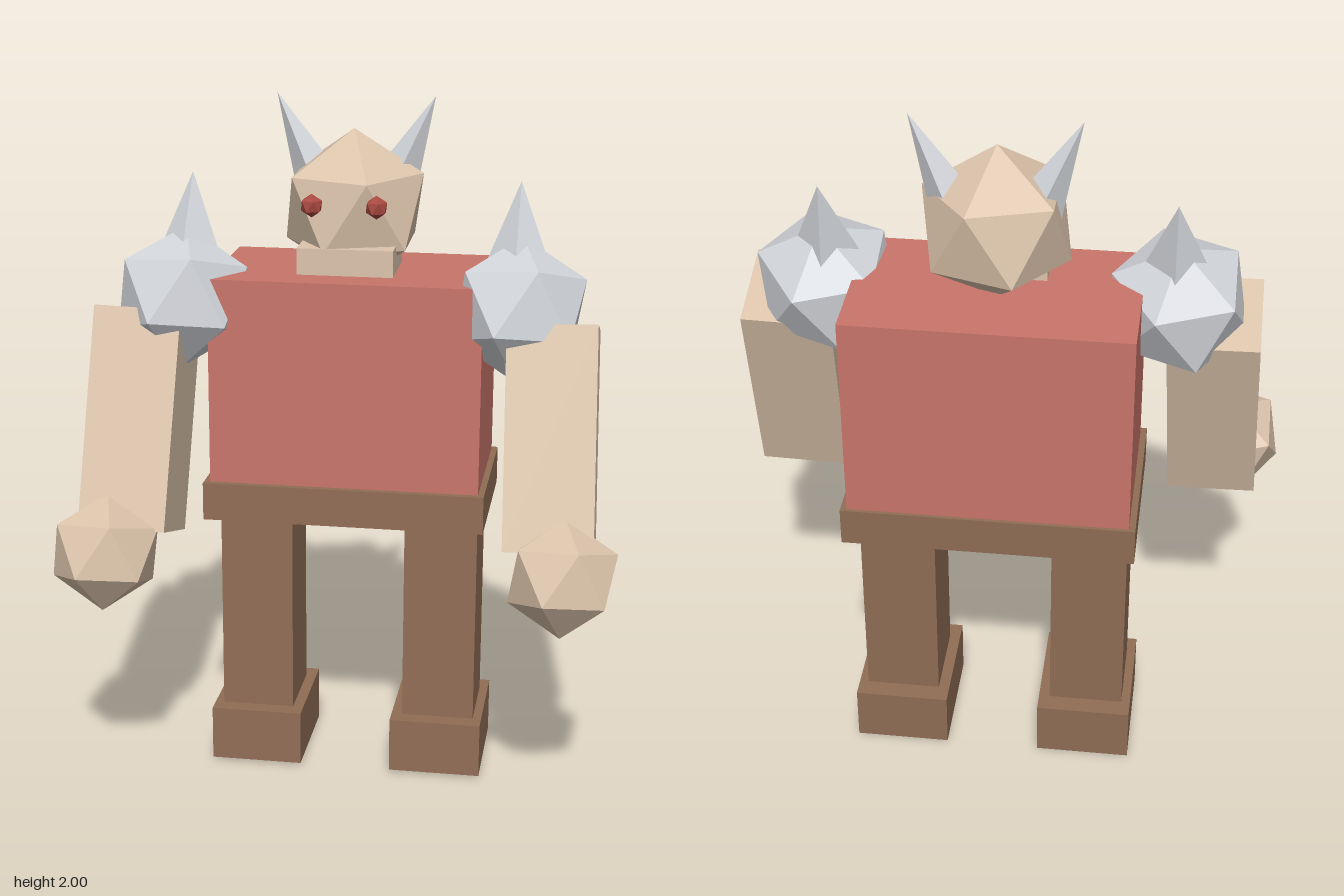
import * as THREE from 'three';

const mat = (name, color) => {
  const m = new THREE.MeshStandardMaterial({ color, flatShading: true });
  m.name = name;
  return m;
};

export function createModel() {
  const skin = mat('skin', 0xdcc4ab);
  const red = mat('tunic red', 0xc9756a);
  const brown = mat('leather brown', 0x906d55);
  const metal = mat('pale metal', 0xd2d5da);
  const eyeRed = mat('eye red', 0xa8483f);

  const model = new THREE.Group();
  model.name = 'hornedBrute';

  const add = (parent, name, geometry, material, pos, rot = [0, 0, 0]) => {
    const mesh = new THREE.Mesh(geometry, material);
    mesh.name = name;
    mesh.position.set(...pos);
    mesh.rotation.set(...rot);
    parent.add(mesh);
    return mesh;
  };
  const box = (w, h, d) => new THREE.BoxGeometry(w, h, d);
  // Icosahedron standing on a corner, with an upper ring corner towards +x
  const ball = (r) =>
    new THREE.IcosahedronGeometry(r, 0).rotateZ(-Math.atan(2 / (1 + Math.sqrt(5))));
  const spike = (r, h) => new THREE.ConeGeometry(r, h, 4);

  // Body leans back very slightly
  const lean = [-0.025, 0, 0];
  add(model, 'torso', box(0.775, 0.6, 0.46), red, [0, 1.205, -0.187], lean);
  add(model, 'belt', box(0.81, 0.11, 0.49), brown, [0, 0.855, -0.173], lean);

  // Head, jaw
  add(model, 'head', ball(0.22), skin, [0, 1.69, -0.17], [0.015, 0, 0]);
  add(model, 'jaw', box(0.27, 0.075, 0.2), skin, [0, 1.567, -0.083]);

  for (const [label, s] of [['left', 1], ['right', -1]]) {
    // Eyes and horns
    add(model, label + 'Eye', ball(0.033), eyeRed, [s * 0.09, 1.728, 0.028]);
    add(model, label + 'Horn', spike(0.073, 0.3), metal,
      [s * 0.162, 1.864, -0.2], [0, 0, -s * 0.43]);

    // Legs and feet
    add(model, label + 'Leg', box(0.213, 0.64, 0.235), brown, [s * 0.273, 0.485, -0.162], lean);
    add(model, label + 'Foot', box(0.27, 0.163, 0.34), brown, [s * 0.27, 0.087, -0.154], lean);

    // Arm swung forward from the shoulder
    const arm = new THREE.Group();
    arm.name = label + 'ArmGroup';
    arm.position.set(s * 0.482, 1.43, -0.07);
    arm.rotation.x = -0.325;
    model.add(arm);
    add(arm, label + 'ShoulderGuard', ball(0.205), metal, [0, 0, 0]);
    add(arm, label + 'ShoulderSpike', spike(0.1, 0.26), metal, [-s * 0.012, 0.23, 0]);
    add(arm, label + 'Arm', box(0.25, 0.625, 0.262), skin, [s * 0.108, -0.356, 0], [0, 0, s * 0.028]);
    add(arm, label + 'Hand', ball(0.165), skin, [s * 0.16, -0.735, 0.12]);
  }
  return model;
}
